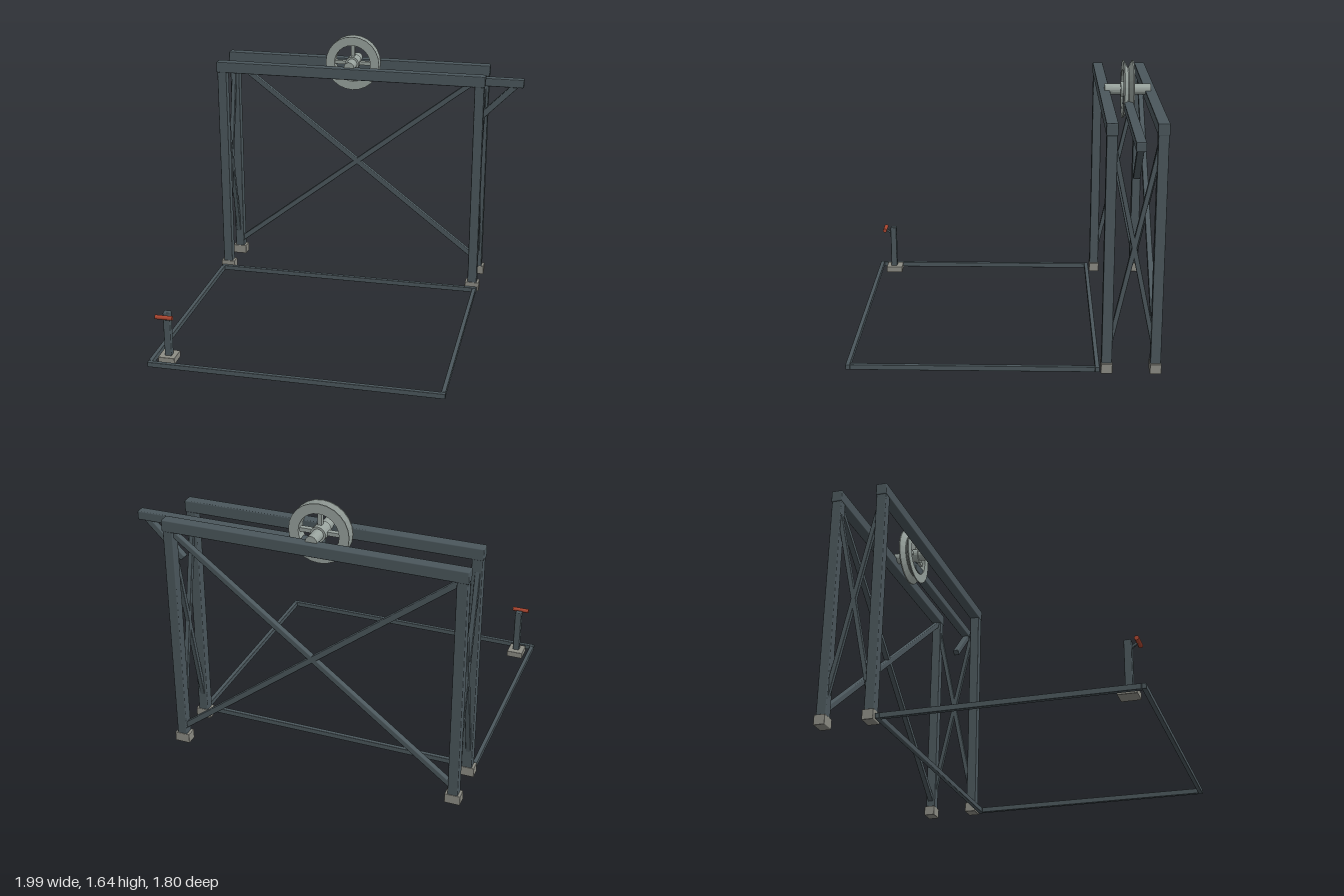
import * as THREE from 'three';
import { RoundedBoxGeometry } from 'three/addons/geometries/RoundedBoxGeometry.js';

const mat = (color, opts = {}) => new THREE.MeshStandardMaterial({ color, ...opts });
const steel = mat(0x4b575c);
const pale = mat(0x98a29d, { flatShading: true });
const concrete = mat(0x8d8d85);
const red = mat(0xa8452f);

const LEFT = -0.95, RIGHT = 0.73, MIDX = -0.11;   // post lines across
const NEAR = -0.595, FAR = -0.873, MIDZ = -0.734; // the two upright frames

export function createModel() {
  const model = new THREE.Group();

  const add = (name, geometry, material, x = 0, y = 0, z = 0, parent = model) => {
    const mesh = new THREE.Mesh(geometry, material);
    mesh.name = name;
    mesh.position.set(x, y, z);
    parent.add(mesh);
    return mesh;
  };

  // box with softened edges, given by its limits
  const box = (name, material, x0, x1, y0, y1, z0, z1, r = 0.006) =>
    add(name, new RoundedBoxGeometry(x1 - x0, y1 - y0, z1 - z0, 1, r), material,
      (x0 + x1) / 2, (y0 + y1) / 2, (z0 + z1) / 2);

  // square bar between two points
  const bar = (name, a, b, w, material = steel) => {
    const from = new THREE.Vector3(...a), to = new THREE.Vector3(...b);
    const mesh = add(name, new RoundedBoxGeometry(w, w, from.distanceTo(to), 1, w * 0.15), material);
    mesh.position.copy(from).lerp(to, 0.5);
    mesh.lookAt(to);
    return mesh;
  };

  // posts, footings and top beams
  for (const z of [NEAR, FAR]) {
    for (const x of [LEFT, RIGHT]) {
      box('post', steel, x - 0.03, x + 0.03, 0.04, 1.4, z - 0.03, z + 0.03);
      box('footing', concrete, x - 0.046, x + 0.046, 0, 0.06, z - 0.033, z + 0.033, 0.004);
    }
    box('topBeam', steel, -0.985, 0.765, 1.39, 1.46, z - 0.033, z + 0.033);
  }

  // crossed bracing on the back frame and on both ends
  const low = 0.095, high = 1.395;
  bar('backBrace', [LEFT, high, FAR], [RIGHT, low, FAR], 0.034);
  bar('backBrace', [LEFT, low, FAR], [RIGHT, high, FAR], 0.034);
  for (const x of [LEFT - 0.005, RIGHT]) {
    bar('endBrace', [x, high, NEAR], [x, low, FAR], 0.028);
    bar('endBrace', [x, low, NEAR], [x, high, FAR], 0.028);
  }

  // floor frame
  for (const z of [-0.543, 0.885]) box('floorRail', steel, -0.987, 0.765, 0.003, 0.035, z - 0.013, z + 0.013, 0.004);
  for (const x of [-0.975, 0.75]) box('floorRail', steel, x - 0.013, x + 0.013, 0.003, 0.035, -0.53, 0.872, 0.004);

  // boom and its strut
  box('boom', steel, -0.13, 0.995, 1.362, 1.415, MIDZ - 0.028, MIDZ + 0.028);
  bar('boomStrut', [0.95, 1.378, MIDZ], [0.73, 1.155, MIDZ], 0.038);

  // grooved pulley wheel on its axle
  const wheel = new THREE.Group();
  wheel.name = 'pulleyWheel';
  wheel.position.set(MIDX, 1.463, MIDZ);
  wheel.rotation.x = Math.PI / 2;
  model.add(wheel);
  const rim = [[0.118, -0.032], [0.175, -0.032], [0.175, -0.025], [0.135, -0.003], [0.135, 0.003],
    [0.175, 0.025], [0.175, 0.032], [0.118, 0.032], [0.118, -0.032]].map(p => new THREE.Vector2(...p));
  add('rim', new THREE.LatheGeometry(rim, 24), pale, 0, 0, 0, wheel);
  add('hub', new THREE.CylinderGeometry(0.045, 0.045, 0.085, 20), pale, 0, 0, 0, wheel);
  add('axle', new THREE.CylinderGeometry(0.033, 0.033, 0.276, 20), pale, 0, 0, 0, wheel);
  for (let i = 0; i < 4; i++) {
    const a = i * Math.PI / 2;
    const spoke = add('spoke', new THREE.BoxGeometry(0.1, 0.03, 0.022), pale,
      0.08 * Math.cos(a), 0, 0.08 * Math.sin(a), wheel);
    spoke.rotation.y = -a;
  }

  // control lever at the front corner
  box('leverBase', concrete, -0.94, -0.838, 0.005, 0.045, 0.735, 0.842, 0.004);
  box('leverPost', steel, -0.908, -0.866, 0.04, 0.322, 0.772, 0.813);
  bar('leverArm', [-0.887, 0.272, 0.8], [-0.887, 0.309, 0.848], 0.014);
  const grip = add('leverGrip', new THREE.CylinderGeometry(0.013, 0.013, 0.104, 12), red, -0.887, 0.309, 0.848);
  grip.rotation.z = Math.PI / 2;

  return model;
}
